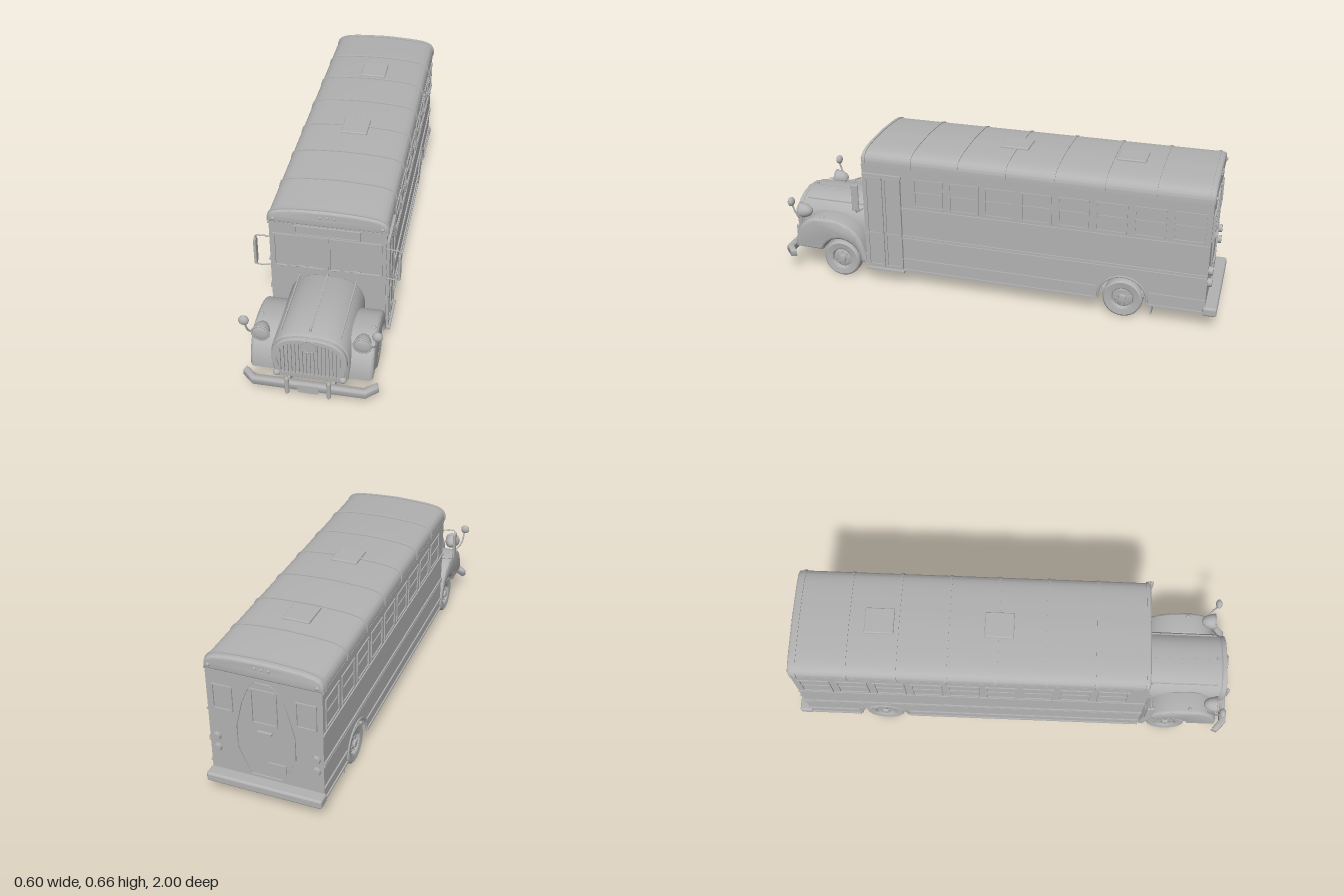
import * as THREE from 'three';
import { toCreasedNormals } from 'three/addons/utils/BufferGeometryUtils.js';
import { RoundedBoxGeometry } from 'three/addons/geometries/RoundedBoxGeometry.js';

const grey = new THREE.MeshStandardMaterial({ color: 0xb2b2b2, side: THREE.DoubleSide });
grey.name = 'bodyGrey';

const HALF = Math.PI / 2;
const V = (x, y, z) => new THREE.Vector3(x, y, z);
const poly = (pts) => new THREE.Shape(pts.map((p) => new THREE.Vector2(p[0], p[1])));
const box = (w, h, d) => new THREE.BoxGeometry(w, h, d);
const ball = (r) => new THREE.SphereGeometry(r, 20, 14);
const cylX = (r, h, n = 20) => new THREE.CylinderGeometry(r, r, h, n).rotateZ(HALF);
const cylZ = (r, h, n = 28) => new THREE.CylinderGeometry(r, r, h, n).rotateX(HALF);
const tube = (pts, r) => new THREE.TubeGeometry(new THREE.CatmullRomCurve3(pts), 16, r, 8);

// Extrusion with optional rounded edges; the bevel stays inside the given depth
function extrude(shape, depth, bevel = 0, crease = 0.6) {
  const g = new THREE.ExtrudeGeometry(shape, {
    depth: depth - 2 * bevel,
    curveSegments: 20,
    bevelEnabled: bevel > 0,
    bevelThickness: bevel,
    bevelSize: bevel,
    bevelOffset: -bevel,
    bevelSegments: 5,
  });
  g.translate(0, 0, bevel);
  return toCreasedNormals(g, crease);
}

// Rectangular frame centred on the origin
function frame(w, h, t, d) {
  const rect = (a, b) => poly([[-a, -b], [a, -b], [a, b], [-a, b]]);
  const s = rect(w / 2, h / 2);
  s.holes.push(rect(w / 2 - t, h / 2 - t));
  return extrude(s, d);
}

// Roof cross-section, grown outward by e
function roofShape(e) {
  const s = new THREE.Shape();
  s.moveTo(-0.243 - e, 0.575);
  s.lineTo(-0.243 - e, 0.595);
  s.bezierCurveTo(-0.238 - e, 0.64 + e, -0.2, 0.645 + e, 0, 0.651 + e);
  s.bezierCurveTo(0.2, 0.645 + e, 0.238 + e, 0.64 + e, 0.243 + e, 0.595);
  s.lineTo(0.243 + e, 0.575);
  return s;
}

// Height of a rounded arch at x, and its outline down to a narrower foot
function archY(x, w, base, rise) {
  const t = Math.max(0, 1 - Math.pow(Math.abs(x) / w, 2.6));
  return base + rise * Math.pow(t, 1 / 2.6);
}
function archShape(w, base, rise, foot, low) {
  const pts = [[-foot, low]];
  for (let i = 0; i <= 28; i++) {
    const x = -w * Math.cos((Math.PI * i) / 28);
    pts.push([x, archY(x, w, base, rise)]);
  }
  pts.push([foot, low]);
  return poly(pts);
}

export function createModel() {
  const model = new THREE.Group();
  model.name = 'schoolBus';
  function add(name, geo, x = 0, y = 0, z = 0, parent = model) {
    const m = new THREE.Mesh(geo, grey);
    m.name = name;
    m.position.set(x, y, z);
    parent.add(m);
  }

  // Body shell: floor, end walls and side walls with rear wheel arches
  add('floor', box(0.45, 0.02, 1.5), 0, 0.115, -0.19);
  add('frontWall', box(0.476, 0.5, 0.02), 0, 0.33, 0.565);
  add('rearWall', box(0.476, 0.5, 0.02), 0, 0.33, -0.94);
  const wall = new THREE.Shape();
  wall.moveTo(0.575, 0.075);
  wall.lineTo(0.575, 0.58);
  wall.lineTo(-0.95, 0.58);
  wall.lineTo(-0.95, 0.075);
  wall.lineTo(-0.706, 0.075);
  wall.absarc(-0.6, 0.09, 0.106, Math.PI, 0, true);
  wall.lineTo(-0.494, 0.075);
  for (const s of [-1, 1]) {
    add('sideWall', extrude(wall, 0.018).rotateY(-HALF), s > 0 ? 0.238 : -0.22);
    // Rub rails; the lower ones stop at the wheel arch
    for (const y of [0.575, 0.385, 0.25, 0.237]) {
      add('rubRail', box(0.008, 0.009, 1.525), s * 0.24, y, -0.1875);
    }
    for (const y of [0.135, 0.08]) {
      add('lowerRail', box(0.008, 0.008, 1.06), s * 0.24, y, 0.045);
      add('lowerRailRear', box(0.008, 0.008, 0.235), s * 0.24, y, -0.832);
    }
    // Wheel housing, arch trim and mud flap
    const housing = new THREE.CylinderGeometry(0.108, 0.108, 0.14, 24, 1, true, 0, Math.PI);
    add('wheelHousing', housing.rotateZ(HALF), s * 0.165, 0.09, -0.6);
    const trim = new THREE.TorusGeometry(0.107, 0.005, 6, 28, Math.PI);
    add('archTrim', trim.rotateY(HALF), s * 0.239, 0.09, -0.6);
    add('mudFlap', box(0.11, 0.1, 0.006), s * 0.178, 0.08, -0.725);
    // Side windows with a sash bar
    const count = s > 0 ? 8 : 9;
    for (let i = 0; i < count; i++) {
      const z = -0.86 + i * 0.161;
      add('sideWindowFrame', frame(0.135, 0.135, 0.008, 0.006).rotateY(s * HALF), s * 0.237, 0.465, z);
      add('windowSash', box(0.006, 0.006, 0.125), s * 0.239, 0.47, z);
    }
  }

  // Roof with ribs and hatches
  add('roof', extrude(roofShape(0), 1.53, 0.012), 0, 0, -0.955);
  for (let i = 0; i < 8; i++) add('roofRib', extrude(roofShape(0.004), 0.012), 0, 0, 0.555 - i * 0.2125);
  for (const z of [-0.58, -0.07]) {
    add('roofHatch', new RoundedBoxGeometry(0.115, 0.016, 0.125, 3, 0.005), 0, 0.65, z);
  }

  // Front of the cab
  add('signFrame', frame(0.266, 0.046, 0.005, 0.012), 0, 0.553, 0.57);
  add('signPanel', box(0.256, 0.036, 0.006), 0, 0.553, 0.575);
  add('centrePost', box(0.01, 0.17, 0.014), 0, 0.443, 0.576);
  for (const s of [-1, 1]) add('windshieldFrame', frame(0.218, 0.167, 0.008, 0.01), s * 0.114, 0.443, 0.572);
  for (const x of [-0.19, 0.01]) {
    const path = [V(x, 0.372, 0.588), V(x + 0.05, 0.377, 0.59), V(x + 0.13, 0.382, 0.588)];
    add('wiper', tube(path, 0.002));
  }

  // Marker lights on both ends of the roof
  for (const z of [0.574, -0.955]) {
    for (const x of [-0.028, 0, 0.028]) add('markerLight', ball(0.006), x, 0.624, z);
    for (const x of [-0.22, 0.22]) add('cornerLight', ball(0.008), x, 0.597, z);
  }

  // Folding entrance door and step
  for (const z of [0.436, 0.522]) {
    add('doorLeaf', box(0.012, 0.44, 0.083), 0.239, 0.305, z);
    add('doorLeafFrame', frame(0.083, 0.44, 0.012, 0.006).rotateY(HALF), 0.244, 0.305, z);
    add('doorCrossbar', box(0.006, 0.01, 0.08), 0.247, 0.25, z);
  }
  add('doorHeader', box(0.016, 0.012, 0.18), 0.241, 0.532, 0.479);
  add('doorStep', box(0.06, 0.01, 0.18), 0.228, 0.073, 0.479);

  // Rear emergency door, windows, lamps and bumper
  const half = [[0.07, 0.115], [0.125, 0.235], [0.125, 0.34], [0.095, 0.46], [0.065, 0.53], [0.03, 0.56]];
  const outline = [...half, ...half.map((p) => [-p[0], p[1]]).reverse()];
  const door = poly(outline);
  door.holes.push(poly(outline.map((p) => [p[0] * 0.94, 0.34 + (p[1] - 0.34) * 0.97])));
  add('rearDoorSurround', extrude(door, 0.008), 0, 0, -0.956);
  add('rearDoorWindow', frame(0.11, 0.16, 0.008, 0.008), 0, 0.45, -0.956);
  add('rearDoorHandle', box(0.06, 0.008, 0.012), 0, 0.335, -0.956);
  add('rearPlate', box(0.075, 0.04, 0.008), -0.045, 0.175, -0.953);
  for (const s of [-1, 1]) {
    add('rearSideWindow', frame(0.085, 0.115, 0.006, 0.008), s * 0.172, 0.455, -0.956);
    for (const y of [0.265, 0.21]) add('tailLamp', cylZ(0.018, 0.022), s * 0.208, y, -0.957);
  }
  add('rearBumper', new RoundedBoxGeometry(0.49, 0.04, 0.06, 4, 0.01), 0, 0.085, -0.97);

  // Hood with rounded nose, hinge strip, seams and cap
  add('hood', extrude(archShape(0.157, 0.2, 0.139, 0.15, 0.12), 0.37, 0.02, 0.8), 0, 0, 0.57);
  add('hoodHinge', box(0.006, 0.006, 0.33), 0, 0.338, 0.74);
  add('hoodCap', new THREE.CapsuleGeometry(0.006, 0.012, 4, 10), 0, 0.343, 0.91);
  for (const s of [-1, 1]) add('hoodSeam', box(0.005, 0.005, 0.34), s * 0.118, 0.32, 0.74);

  // Radiator grille: arched shell, vertical bars and round boss
  const shell = archShape(0.149, 0.21, 0.12, 0.132, 0.125);
  shell.holes.push(archShape(0.134, 0.21, 0.106, 0.118, 0.14));
  add('grilleShell', extrude(shell, 0.03, 0.005), 0, 0, 0.926);
  for (let i = -8; i <= 8; i++) {
    const x = i * 0.0148;
    const top = archY(x, 0.134, 0.21, 0.105);
    add('grilleBar', box(0.006, top - 0.138, 0.014), x, (top + 0.138) / 2, 0.942);
  }
  add('grilleBoss', cylZ(0.03, 0.012), 0, 0.297, 0.952);
  add('grilleBossRing', new THREE.TorusGeometry(0.03, 0.003, 8, 28), 0, 0.297, 0.957);

  // Front fenders with wheel arch
  const fender = new THREE.Shape();
  fender.moveTo(0.925, 0.125);
  fender.bezierCurveTo(0.925, 0.21, 0.89, 0.28, 0.79, 0.282);
  fender.bezierCurveTo(0.68, 0.282, 0.59, 0.25, 0.575, 0.09);
  fender.lineTo(0.605, 0.09);
  fender.absarc(0.703, 0.09, 0.098, Math.PI, 0.35, true);
  for (const s of [-1, 1]) {
    add('frontFender', extrude(fender, 0.11, 0.014, 0.9).rotateY(-HALF), s > 0 ? 0.245 : -0.135);
    // Headlamps, signal lamps and fender markers
    const bowl = new THREE.SphereGeometry(0.035, 24, 12, 0, Math.PI * 2, 0, HALF);
    add('headlampShell', bowl.scale(1, 1.7, 1).rotateX(-HALF), s * 0.2, 0.293, 0.91);
    add('headlampLens', ball(0.033).scale(1, 1, 0.25), s * 0.2, 0.293, 0.91);
    add('headlampRim', new THREE.TorusGeometry(0.034, 0.004, 8, 28), s * 0.2, 0.293, 0.91);
    add('signalLamp', ball(0.016), s * 0.131, 0.139, 0.95);
    add('fenderMarker', ball(0.01), s * 0.225, 0.28, 0.79);
    // Round fender mirrors
    add('fenderMirror', ball(0.021).scale(1, 1, 0.7), s * 0.26, 0.36, 0.92);
    const arm = [V(s * 0.225, 0.255, 0.87), V(s * 0.25, 0.29, 0.9), V(s * 0.257, 0.345, 0.92)];
    add('fenderMirrorArm', tube(arm, 0.004));
    // Tall side mirrors
    add('sideMirror', new RoundedBoxGeometry(0.011, 0.125, 0.032, 3, 0.004), s * 0.294, 0.437, 0.588);
    const upper = [V(s * 0.235, 0.51, 0.58), V(s * 0.265, 0.514, 0.588), V(s * 0.29, 0.512, 0.588), V(s * 0.294, 0.498, 0.588)];
    add('mirrorArmTop', tube(upper, 0.003));
    const lower = [V(s * 0.294, 0.377, 0.588), V(s * 0.288, 0.365, 0.588), V(s * 0.235, 0.36, 0.58)];
    add('mirrorArmBottom', tube(lower, 0.003));
    // Bumper guards and chassis rails
    add('bumperGuard', new THREE.CapsuleGeometry(0.009, 0.07, 6, 12), s * 0.083, 0.112, 0.991);
    add('chassisRail', box(0.016, 0.035, 1.85), s * 0.09, 0.085, 0.035);
  }

  // Front bumper with swept-back ends
  const plan = poly([[-0.272, -0.94], [-0.262, -0.915], [-0.215, -0.952], [0.215, -0.952],
    [0.262, -0.915], [0.272, -0.94], [0.225, -0.983], [-0.225, -0.983]]);
  add('frontBumper', extrude(plan, 0.036, 0.008, 0.9).rotateX(-HALF), 0, 0.08, 0);
  add('frontPlate', box(0.08, 0.038, 0.006), 0, 0.099, 0.987);

  // Underside: crossmembers, axles, drive shaft and side tank
  for (const z of [0.88, 0.45, 0.1, -0.3, -0.85]) add('crossmember', box(0.18, 0.02, 0.02), 0, 0.08, z);
  for (const z of [0.703, -0.6]) add('axle', cylX(0.014, 0.36), 0, 0.09, z);
  add('differential', ball(0.035), 0, 0.09, -0.6);
  add('driveShaft', cylZ(0.01, 1.1, 12), 0, 0.09, -0.05);
  add('sideTank', new RoundedBoxGeometry(0.105, 0.06, 0.22, 3, 0.01), -0.183, 0.08, -0.09);

  // Wheels: lathed tyre and rim with a ring of nuts; the rear ones are doubled
  const tyre = [[0.05, -0.026], [0.078, -0.03], [0.085, -0.024], [0.087, -0.015],
    [0.087, 0.015], [0.085, 0.024], [0.078, 0.03], [0.05, 0.026]];
  const rim = [[0.052, 0.027], [0.047, 0.024], [0.044, 0.012], [0.03, 0.018], [0.018, 0.02], [0.016, 0.03], [0, 0.032]];
  function lathe(pts) {
    const g = new THREE.LatheGeometry(pts.map((p) => new THREE.Vector2(p[0], p[1])), 36);
    return toCreasedNormals(g.rotateZ(-HALF), 0.6);
  }
  function wheel(name, s, x, z) {
    const g = new THREE.Group();
    g.name = name;
    g.position.set(s * x, 0.087, z);
    if (s < 0) g.rotation.y = Math.PI;
    add('tyre', lathe(tyre), 0, 0, 0, g);
    add('rim', lathe(rim), 0, 0, 0, g);
    add('innerRim', cylX(0.052, 0.004, 28), -0.015, 0, 0, g);
    for (let i = 0; i < 8; i++) {
      const a = (i * Math.PI) / 4;
      add('wheelNut', cylX(0.004, 0.008, 6), 0.02, 0.03 * Math.sin(a), 0.03 * Math.cos(a), g);
    }
    model.add(g);
  }
  for (const s of [-1, 1]) {
    wheel('frontWheel', s, 0.205, 0.703);
    wheel('rearOuterWheel', s, 0.205, -0.6);
    wheel('rearInnerWheel', s, 0.143, -0.6);
  }
  return model;
}
